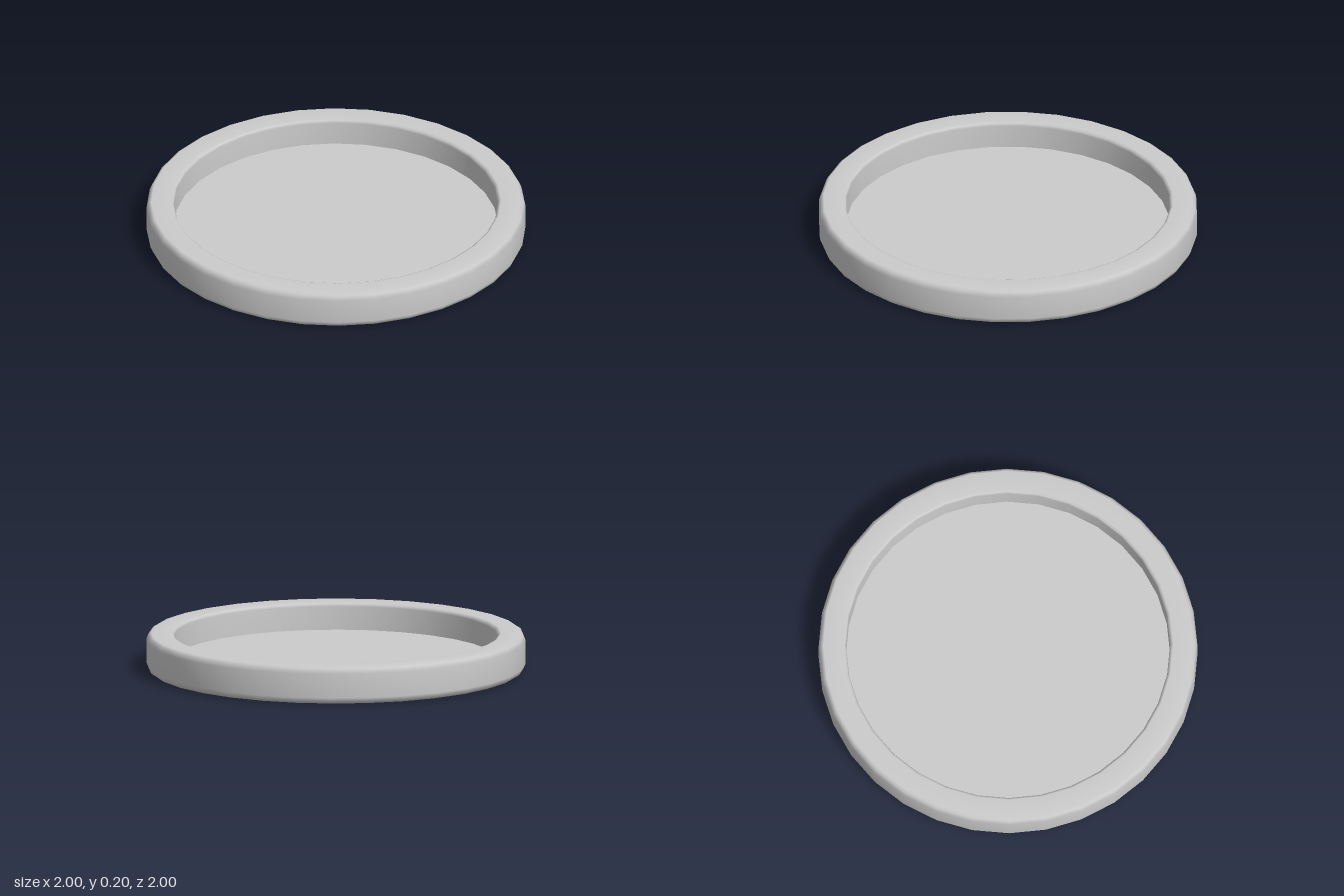
import * as THREE from 'three';

const SIDES = 32;
const FLOOR_Y = 0.055;
const INNER_R = 0.855;

// Smooth surface of revolution from [radius, height] pairs
function lathe(name, profile, material) {
  const points = profile.map(([r, y]) => new THREE.Vector2(r, y));
  const mesh = new THREE.Mesh(new THREE.LatheGeometry(points, SIDES), material);
  mesh.name = name;
  return mesh;
}

export function createModel() {
  const model = new THREE.Group();
  model.name = 'roundTray';
  const material = new THREE.MeshStandardMaterial({ color: 0xcccccc });

  // Underside, outer wall, softened rim and inner wall
  model.add(lathe('trayBody', [
    [0, 0], [0.93, 0], [0.975, 0.002], [0.99, 0.012], [1, 0.035],
    [1, 0.165], [0.99, 0.19], [0.975, 0.2],
    [0.872, 0.2], [0.86, 0.194], [INNER_R, 0.18], [INNER_R, FLOOR_Y],
  ], material));

  // Flat floor, meeting the inner wall at a sharp edge
  model.add(lathe('trayFloor', [[INNER_R, FLOOR_Y], [0, FLOOR_Y]], material));

  return model;
}
